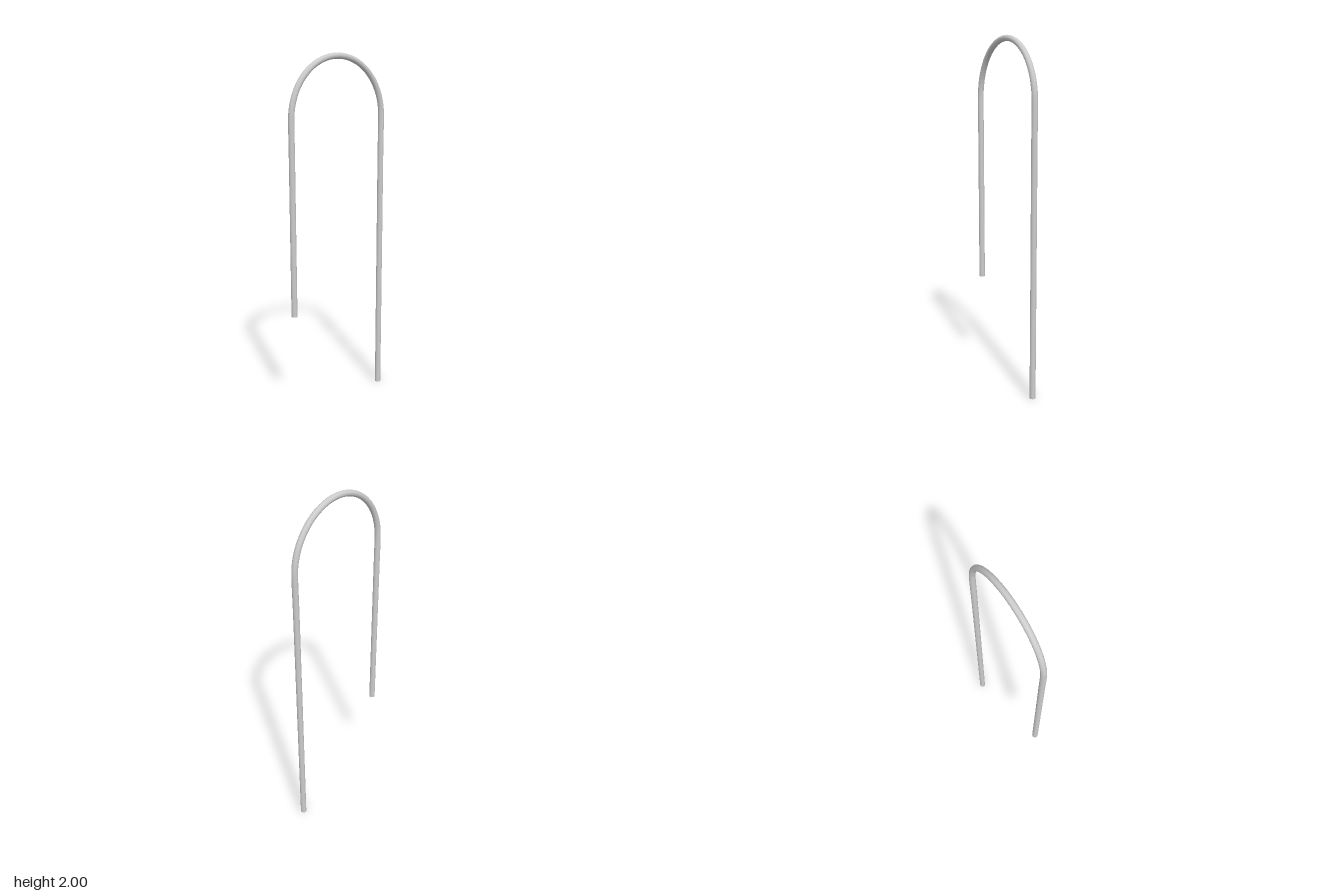
import * as THREE from 'three';

const RADIUS = 0.0168;
const SIDES = 24;

export function createModel() {
  const group = new THREE.Group();
  group.name = 'hookedRod';
  const material = new THREE.MeshStandardMaterial({ color: 0xcccccc });

  // Centre line: long leg, half-ellipse arch, short leg leaning slightly inwards
  const points = [];
  for (let i = 0; i < 8; i++) points.push(new THREE.Vector3(0.314, 1.65 * i / 8, 0));
  for (let i = 0; i <= 24; i++) {
    const a = Math.PI * i / 24;
    points.push(new THREE.Vector3(0.315 * Math.cos(a), 1.65 + 0.333 * Math.sin(a), 0));
  }
  for (let i = 1; i <= 6; i++) {
    const t = i / 6;
    points.push(new THREE.Vector3(-0.315 + 0.004 * t, THREE.MathUtils.lerp(1.65, 0.555, t), 0));
  }
  const path = new THREE.CatmullRomCurve3(points, false, 'centripetal');

  const rod = new THREE.Mesh(new THREE.TubeGeometry(path, 240, RADIUS, SIDES), material);
  rod.name = 'bentRod';
  group.add(rod);

  // Flat discs closing both ends, facing down
  for (const [name, end] of [['longLegEnd', points[0]], ['shortLegEnd', points[points.length - 1]]]) {
    const cap = new THREE.Mesh(new THREE.CircleGeometry(RADIUS, SIDES), material);
    cap.name = name;
    cap.rotation.x = Math.PI / 2;
    cap.position.copy(end);
    group.add(cap);
  }
  return group;
}
